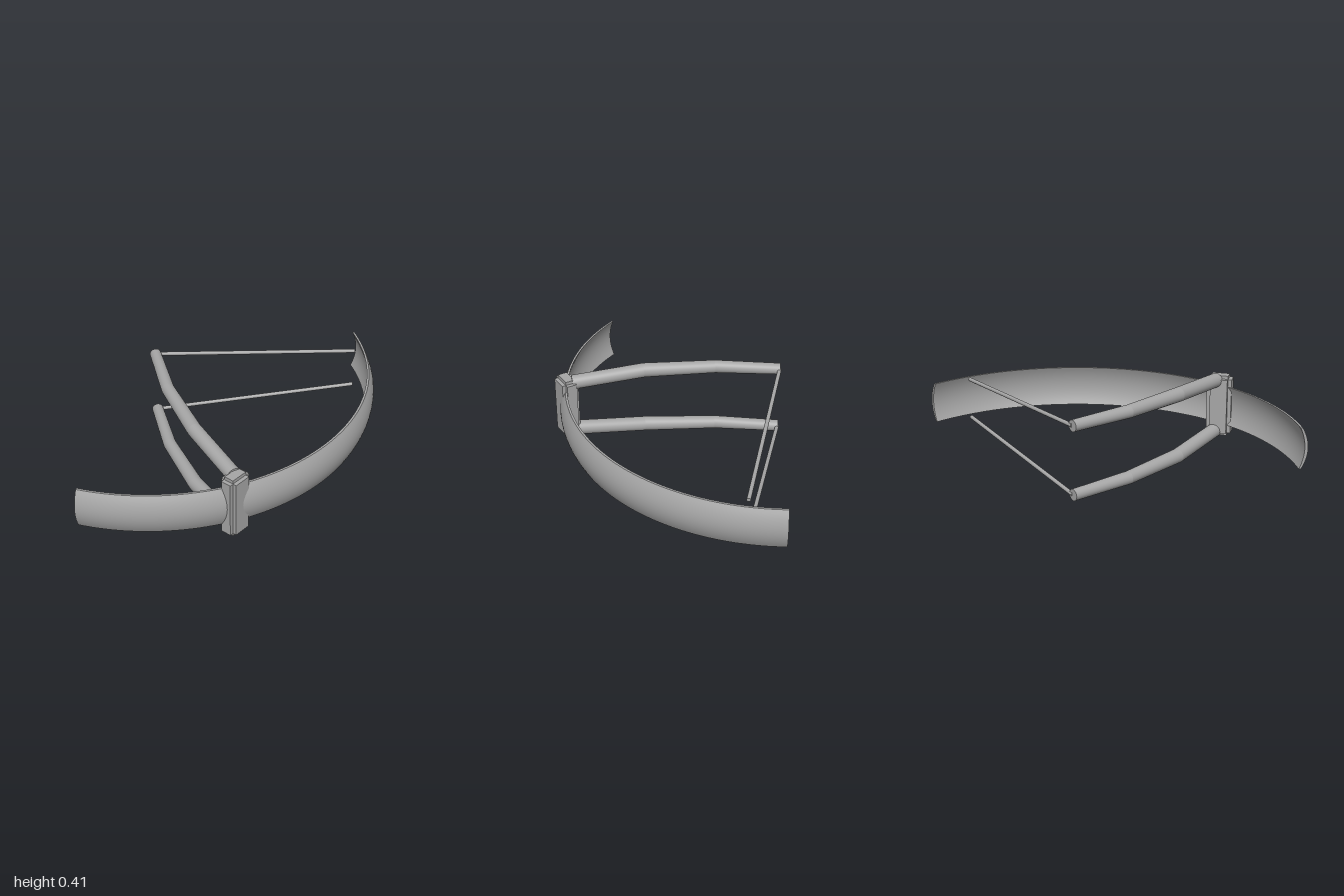
import * as THREE from 'three';
import { mergeGeometries } from 'three/addons/utils/BufferGeometryUtils.js';

const MID_Y = 0.21;

// Surface through a list of point rows; normal = (along row) x (row to row)
function loft(rows, closed = false) {
  const n = rows[0].length, index = [];
  for (let i = 0; i < rows.length - 1; i++) {
    for (let j = 0; j < (closed ? n : n - 1); j++) {
      const k = (j + 1) % n;
      const a = i * n + j, b = i * n + k, c = a + n, d = b + n;
      index.push(a, b, d, a, d, c);
    }
  }
  const geometry = new THREE.BufferGeometry().setFromPoints(rows.flat());
  geometry.setIndex(index);
  geometry.computeVertexNormals();
  return geometry;
}

// Curved band with a bowed, lens-like section swept around a vertical axis
function bladeGeometry() {
  const cx = 0.037, cz = -0.559, R = 1.134, half = 0.105, bow = 0.03;
  const from = THREE.MathUtils.degToRad(-66.1), to = THREE.MathUtils.degToRad(58.1);
  const STEPS = 72, ACROSS = 12;
  const outer = [], inner = [];
  for (let j = 0; j <= ACROSS; j++) {
    const s = 1 - 2 * j / ACROSS;
    const r = R - bow * s * s;
    outer.push([r, MID_Y + half * s]);
    inner.push([r - 0.016 + 0.005 * s * s, MID_Y + half * s]);
  }
  const row = (section, t) => section.map(([r, y]) =>
    new THREE.Vector3(cx + r * Math.sin(t), y, cz + r * Math.cos(t)));
  const sweep = section => {
    const rows = [];
    for (let i = 0; i <= STEPS; i++) rows.push(row(section, from + (to - from) * i / STEPS));
    return loft(rows);
  };
  return mergeGeometries([
    sweep(outer),
    sweep([outer[ACROSS], inner[ACROSS]]),
    sweep([...inner].reverse()),
    sweep([inner[0], outer[0]]),
    loft([row(outer, to), row(inner, to)]),
    loft([row(inner, from), row(outer, from)]),
  ]);
}

// Capped tapered tube with mitred bends; stations are [x, y, z, radius]
function tubeGeometry(stations, sides) {
  const points = stations.map(s => new THREE.Vector3(s[0], s[1], s[2]));
  const last = points.length - 1;
  const rings = points.map((p, i) => {
    const t = points[Math.min(i + 1, last)].clone().sub(points[Math.max(i - 1, 0)]).normalize();
    const u = new THREE.Vector3(0, 1, 0).cross(t).normalize();
    const v = t.clone().cross(u);
    return Array.from({ length: sides }, (_, j) => {
      const a = j / sides * Math.PI * 2, r = stations[i][3];
      return p.clone().addScaledVector(u, r * Math.cos(a)).addScaledVector(v, r * Math.sin(a));
    });
  });
  const parts = [];
  for (let i = 0; i < last; i++) parts.push(loft([rings[i], rings[i + 1]], true));
  const centre = i => Array(sides).fill(points[i]);
  parts.push(loft([centre(0), rings[0]], true), loft([rings[last], centre(last)], true));
  return mergeGeometries(parts);
}

export function createModel() {
  const group = new THREE.Group();
  const grey = new THREE.MeshStandardMaterial({ color: 0xa6a6a6 });
  grey.name = 'grey';

  const add = (name, geometry, parent = group) => {
    const mesh = new THREE.Mesh(geometry, grey);
    mesh.name = name;
    parent.add(mesh);
    return mesh;
  };

  add('curvedBand', bladeGeometry());

  // Stepped bracket block that the band passes through
  const bracket = new THREE.Group();
  bracket.name = 'bracket';
  group.add(bracket);
  const block = (name, x0, x1, y, z0, z1) =>
    add(name, new THREE.BoxGeometry(x1 - x0, 2 * y, z1 - z0), bracket)
      .position.set((x0 + x1) / 2, MID_Y, (z0 + z1) / 2);
  block('bracketWide', -0.53, -0.40, 0.146, 0.387, 0.441);
  block('bracketDeep', -0.51, -0.42, 0.146, 0.37, 0.46);
  block('bracketTall', -0.51, -0.42, 0.163, 0.39, 0.44);

  // Upper and lower arm with its thin rod, mirrored about the mid height
  for (const side of [1, -1]) {
    const prefix = side > 0 ? 'upper' : 'lower';
    const place = ([x, dy, z, r]) => [x, MID_Y + side * dy, z, r];
    add(prefix + 'Arm', tubeGeometry([
      [-0.447, 0.137, 0.392, 0.037],
      [-0.33, 0.163, 0.04, 0.037],
      [-0.165, 0.17, -0.29, 0.033],
      [0.03, 0.173, -0.563, 0.029],
    ].map(place), 32));
    add(prefix + 'Rod', tubeGeometry([
      [0.033, 0.173, -0.556, 0.01],
      [0.82, 0.105, 0.14, 0.01],
    ].map(place), 16));
  }
  return group;
}
